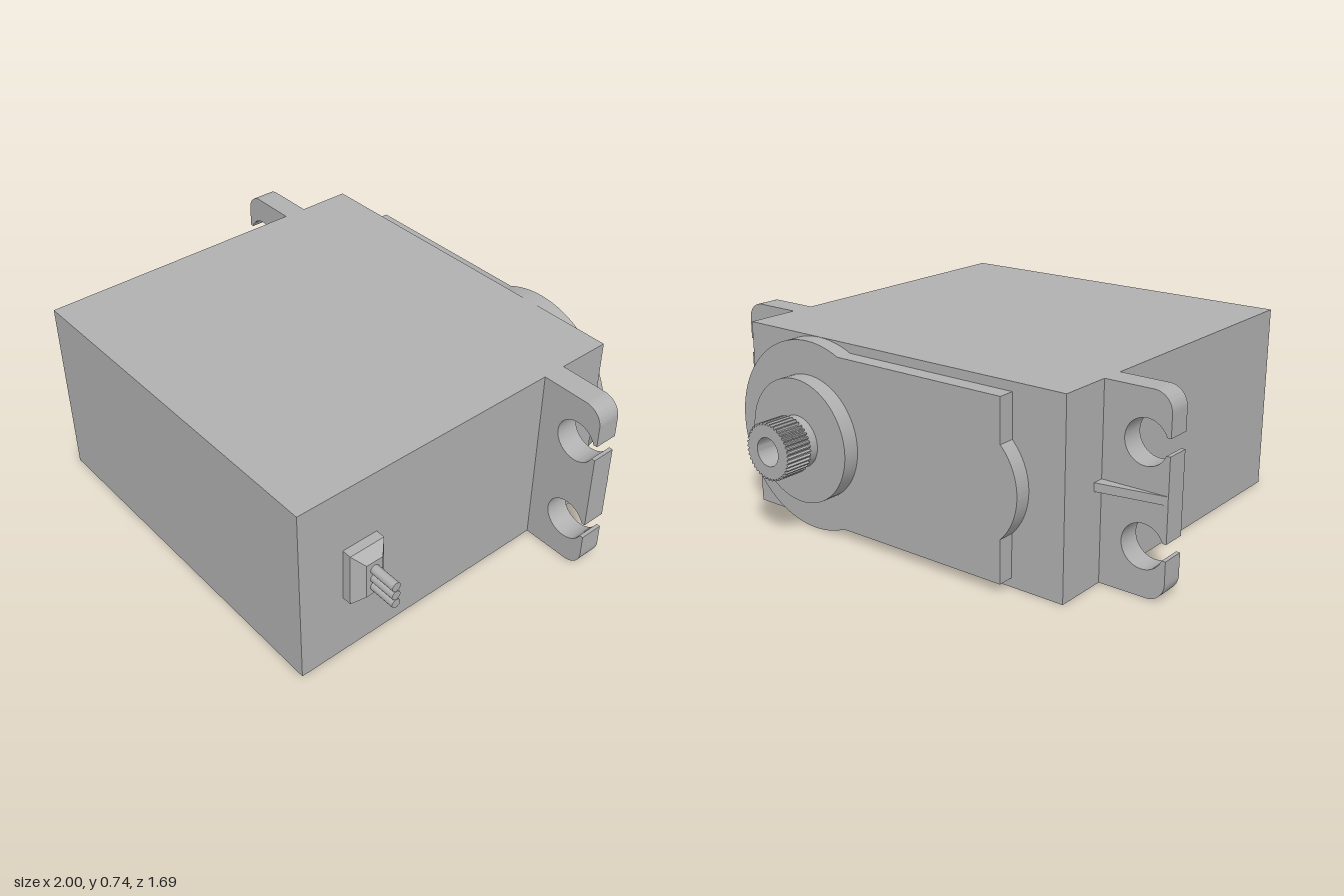
import * as THREE from 'three';
import { toCreasedNormals } from 'three/addons/utils/BufferGeometryUtils.js';

const MID = 0.37; // half the case height, also the x of the output shaft

export function createModel() {
  const root = new THREE.Group();
  root.name = 'servoMotor';
  const grey = new THREE.MeshStandardMaterial({ color: 0xb0b0b0 });
  grey.name = 'grey plastic';

  const add = (name, geometry, parent = root) => {
    const mesh = new THREE.Mesh(geometry, grey);
    mesh.name = name;
    parent.add(mesh);
    return mesh;
  };
  // Extrude a shape from z0 to z1, smooth around its curves
  const extrude = (shape, z0, z1, curveSegments = 24, crease = 0.5) => {
    const g = new THREE.ExtrudeGeometry(shape, { depth: z1 - z0, bevelEnabled: false, curveSegments });
    return toCreasedNormals(g.translate(0, 0, z0), crease);
  };
  const disc = (name, r, z0, z1) => {
    const g = new THREE.CylinderGeometry(r, r, z1 - z0, 64).rotateX(Math.PI / 2);
    add(name, g).position.set(MID, MID, (z0 + z1) / 2);
  };

  // Case
  add('case', new THREE.BoxGeometry(1.48, 0.74, 1.415)).position.set(0, MID, 0.1375);

  // Mounting ears with slotted screw holes and a wedge rib
  const earShape = new THREE.Shape();
  const holeX = 0.908, holeR = 0.083, slot = 0.031, corner = 0.07;
  const a = Math.asin(slot / holeR);
  earShape.moveTo(0.73, -MID);
  earShape.lineTo(1 - corner, -MID);
  earShape.absarc(1 - corner, -MID + corner, corner, -Math.PI / 2, 0, false);
  for (const y of [-0.185, 0.185]) {
    earShape.lineTo(1, y - slot);
    earShape.absarc(holeX, y, holeR, -a, a, true);
    earShape.lineTo(1, y + slot);
  }
  earShape.absarc(1 - corner, MID - corner, corner, 0, Math.PI / 2, false);
  earShape.lineTo(0.73, MID);
  const earGeometry = extrude(earShape, -0.355, -0.26);

  const ribShape = new THREE.Shape([[0.735, 0.35], [1, 0.35], [1, 0.356], [0.735, 0.401]]
    .map(([x, y]) => new THREE.Vector2(x, y)));
  const ribGeometry = extrude(ribShape, -0.016, 0.016, 1, 0.05).rotateX(-Math.PI / 2);

  for (const [name, turn] of [['leftEar', 0], ['rightEar', Math.PI]]) {
    const ear = new THREE.Group();
    ear.name = name;
    ear.position.y = MID;
    ear.rotation.z = turn;
    add('mountingTab', earGeometry, ear);
    add('tabRib', ribGeometry, ear);
    root.add(ear);
  }

  // Raised gear cover: round end, straight bar and a bulge at the far end
  const R = 0.369, half = 0.335, endX = -0.525;
  const b = Math.asin(half / R);
  const bulgeR = 0.24, bulgeX = endX - 0.07 + bulgeR;
  const c = Math.acos((bulgeX - endX) / bulgeR);
  const cover = new THREE.Shape();
  cover.moveTo(endX, -half);
  cover.absarc(MID, 0, R, -Math.PI + b, Math.PI - b, false);
  cover.lineTo(endX, half);
  cover.absarc(bulgeX, 0, bulgeR, Math.PI - c, Math.PI + c, false);
  cover.lineTo(endX, -half);
  add('gearCover', extrude(cover, -0.635, -0.57, 64)).position.y = MID;

  // Output boss
  disc('outputBoss', 0.24, -0.7, -0.63);

  // Hollow shaft neck and toothed spline
  const bore = () => new THREE.Path().absarc(0, 0, 0.055, 0, Math.PI * 2, true);
  const neck = new THREE.Shape().absarc(0, 0, 0.1, 0, Math.PI * 2, false);
  neck.holes.push(bore());
  add('shaftNeck', extrude(neck, -0.745, -0.695, 48)).position.set(MID, MID, 0);

  const teeth = 40, points = [];
  for (let i = 0; i < teeth * 4; i++) {
    const t = (i / (teeth * 4)) * Math.PI * 2;
    const r = i % 4 < 2 ? 0.11 : 0.102;
    points.push(new THREE.Vector2(r * Math.cos(t), r * Math.sin(t)));
  }
  const spline = new THREE.Shape(points);
  spline.holes.push(bore());
  add('outputSpline', extrude(spline, -0.85, -0.74)).position.set(MID, MID, 0);

  // Cable outlet: block, tapered collar and three wires
  const cable = new THREE.Group();
  cable.name = 'cableOutlet';
  cable.position.set(0.74, MID, 0.59);
  add('outletBlock', new THREE.BoxGeometry(0.04, 0.22, 0.146), cable).position.x = 0.017;
  const taper = new THREE.BoxGeometry(0.038, 0.22, 0.146);
  const p = taper.attributes.position;
  for (let i = 0; i < p.count; i++) {
    if (p.getX(i) > 0) p.setXYZ(i, p.getX(i), p.getY(i) * 0.66, p.getZ(i) * 0.48);
  }
  const collar = taper.toNonIndexed();
  collar.computeVertexNormals();
  add('outletCollar', collar, cable).position.x = 0.056;
  const wire = new THREE.CylinderGeometry(0.018, 0.018, 0.12, 20).rotateZ(Math.PI / 2);
  for (const y of [-0.038, 0, 0.038]) add('wire', wire, cable).position.set(0.122, y, 0);
  root.add(cable);

  return root;
}
